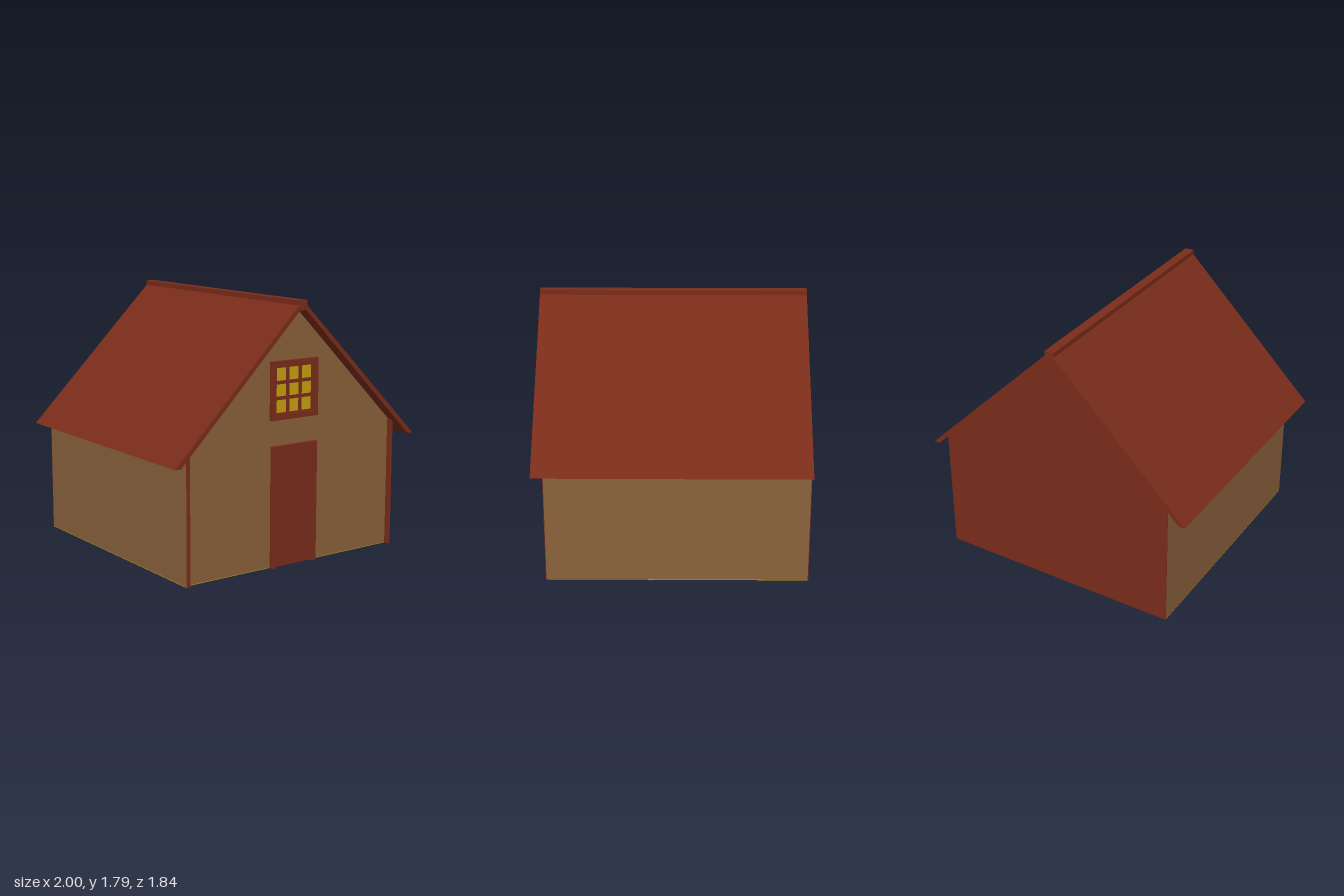
import * as THREE from 'three';

const BROWN = 0x8b623c, RED = 0x7a2c1a, YELLOW = 0xc8a010;
const BACK = -0.92, ROOF_FRONT = 0.92, WALL = 0.827, PROUD = 0.855;

export function createModel() {
  const house = new THREE.Group();
  house.name = 'house';
  const mats = {};
  const mat = (c) => (mats[c] ??= new THREE.MeshStandardMaterial({ color: c, flatShading: true }));

  function add(name, geo, color, parent = house) {
    const mesh = new THREE.Mesh(geo, mat(color));
    mesh.name = name;
    parent.add(mesh);
    return mesh;
  }
  // box given by its extents
  function box(name, color, x0, x1, y0, y1, z0, z1, parent) {
    const g = new THREE.BoxGeometry(x1 - x0, y1 - y0, z1 - z0);
    g.translate((x0 + x1) / 2, (y0 + y1) / 2, (z0 + z1) / 2);
    return add(name, g, color, parent);
  }
  // outline in x, y pushed from z0 to z1, with optional hole
  function slab(name, color, pts, z0, z1, hole, parent) {
    const v = (p) => p.map(([x, y]) => new THREE.Vector2(x, y));
    const shape = new THREE.Shape(v(pts));
    if (hole) shape.holes.push(new THREE.Path(v(hole)));
    const g = new THREE.ExtrudeGeometry(shape, { depth: z1 - z0, bevelEnabled: false });
    g.translate(0, 0, z0);
    return add(name, g, color, parent);
  }
  const rect = (x0, x1, y0, y1) => [[x0, y0], [x1, y0], [x1, y1], [x0, y1]];
  const gable = (y0) => [[-0.875, y0], [0.875, y0], [0.875, 0.885], [0, 1.76], [-0.875, 0.885]];

  // Gabled body, red back wall and floor
  slab('body', BROWN, gable(0.004), BACK + 0.004, WALL);
  slab('backWall', RED, gable(0), BACK, BACK + 0.004);
  box('floor', YELLOW, -0.875, 0.875, 0, 0.004, BACK + 0.004, WALL);

  // Side walls run past the facade to cover the corner posts
  for (const s of [-1, 1]) {
    const side = s < 0 ? 'right' : 'left';
    const a = s * 0.871, b = s * 0.875, c = s * 0.845;
    box(side + 'WallEdge', BROWN, Math.min(a, b), Math.max(a, b), 0, 0.89, WALL, 0.85);
    box(side + 'CornerPost', RED, Math.min(a, c), Math.max(a, c), 0, 0.9, WALL, PROUD);
  }

  // Roof with level-cut eaves, and ridge cap
  slab('roof', RED, [[0.955, 0.8], [1, 0.8], [0, 1.79], [-1, 0.8], [-0.955, 0.8], [0, 1.75]], BACK, ROOF_FRONT);
  box('ridgeCap', RED, -0.033, 0.033, 1.725, 1.79, BACK, ROOF_FRONT);

  // Door and its frame
  const door = new THREE.Group();
  door.name = 'door';
  house.add(door);
  slab('doorFrame', RED, [[-0.187, 0], [-0.15, 0], [-0.15, 0.805], [0.15, 0.805], [0.15, 0],
    [0.187, 0], [0.187, 0.83], [-0.187, 0.83]], WALL, PROUD, null, door);
  box('doorPanel', RED, -0.15, 0.15, 0, 0.805, WALL, WALL + 0.006, door);

  // Window: outer frame, sash, glazing bars and lit glass
  const win = new THREE.Group();
  win.name = 'window';
  win.position.set(-0.003, 1.2, 0);
  house.add(win);
  slab('windowFrame', RED, rect(-0.193, 0.193, -0.195, 0.195), WALL, PROUD, rect(-0.16, 0.16, -0.16, 0.16), win);
  slab('sash', RED, rect(-0.16, 0.16, -0.16, 0.16), WALL, 0.842, rect(-0.148, 0.148, -0.15, 0.15), win);
  box('glass', YELLOW, -0.148, 0.148, -0.15, 0.15, WALL, WALL + 0.004, win);
  for (const p of [-0.052, 0.052]) {
    box('uprightBar', RED, p - 0.01, p + 0.01, -0.15, 0.15, WALL, 0.842, win);
    box('crossBar', RED, -0.148, 0.148, p - 0.011, p + 0.011, WALL, 0.841, win);
  }
  return house;
}
